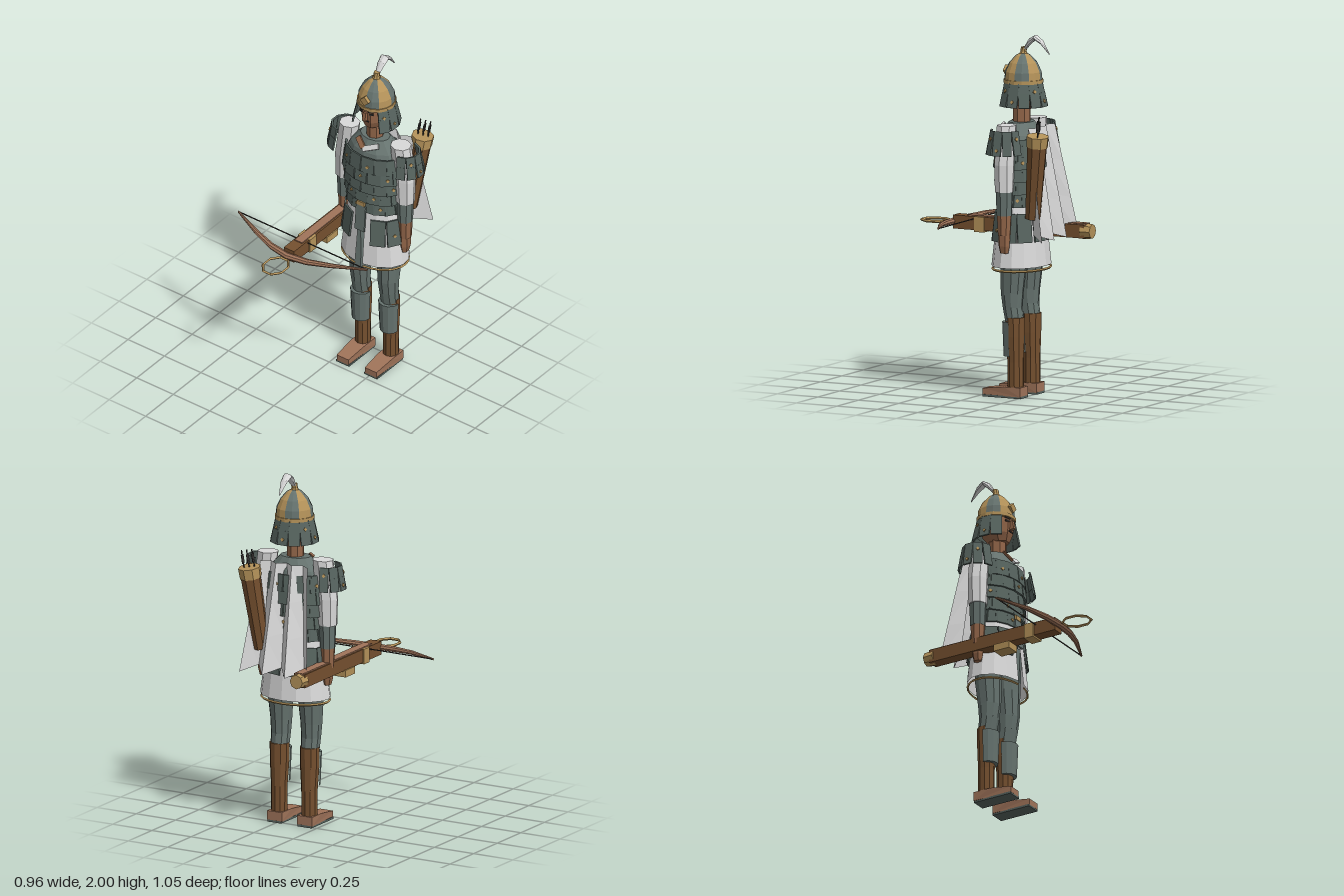
import * as THREE from 'three';

const mat = (name, color, double) => {
  const m = new THREE.MeshStandardMaterial({ color });
  m.name = name;
  if (double) m.side = THREE.DoubleSide;
  return m;
};
const CX = 0.165, CZ = -0.2; // body axis

export function createModel() {
  const root = new THREE.Group();
  const steel = mat('grey green steel', 0x66736f), plateMat = mat('dark plate', 0x57645f);
  const gold = mat('brass', 0xb5935a), leather = mat('dark leather', 0x75502f);
  const skin = mat('skin', 0x94674a), wood = mat('light wood', 0xa0745a);
  const cloth = mat('pale cloth', 0xd9d9d9, true), dark = mat('dark', 0x353230);

  // faceted mesh
  function add(name, geo, m, x = 0, y = 0, z = 0, parent = root) {
    const g = geo.index ? geo.toNonIndexed() : geo;
    g.computeVertexNormals();
    const mesh = new THREE.Mesh(g, m);
    mesh.name = name;
    mesh.position.set(x, y, z);
    parent.add(mesh);
    return mesh;
  }
  const box = (name, m, w, h, d, x, y, z, parent) => add(name, new THREE.BoxGeometry(w, h, d), m, x, y, z, parent);

  // closed solid through horizontal rings [x, y, z, rx, rz], lowest first
  function loft(rings, n = 8, off = 0) {
    const pos = [], idx = [];
    for (const [x, y, z, rx, rz] of rings)
      for (let j = 0; j < n; j++) {
        const a = ((j + off) / n) * Math.PI * 2;
        pos.push(x + rx * Math.sin(a), y, z + rz * Math.cos(a));
      }
    const last = (rings.length - 1) * n, c = rings.length * n;
    pos.push(...rings[0].slice(0, 3), ...rings[rings.length - 1].slice(0, 3));
    for (let j = 0; j < n; j++) {
      const k = (j + 1) % n;
      for (let i = 0; i < last; i += n) idx.push(i + j, i + k, i + n + k, i + j, i + n + k, i + n + j);
      idx.push(c, k, j, c + 1, last + j, last + k);
    }
    const g = new THREE.BufferGeometry();
    g.setAttribute('position', new THREE.Float32BufferAttribute(pos, 3));
    g.setIndex(idx);
    return g;
  }

  // row of hanging plates around an ellipse; every third carries a stud
  function plates(name, o) {
    const row = new THREE.Group();
    row.name = name;
    root.add(row);
    for (let i = 0; i < o.n; i++) {
      const a = o.from + ((i + 0.5) / o.n) * (o.to - o.from);
      const holder = new THREE.Group();
      holder.position.set(o.x + o.rx * Math.sin(a), o.y, o.z + o.rz * Math.cos(a));
      holder.rotation.set(-o.tilt, Math.atan2(Math.sin(a) / o.rx, Math.cos(a) / o.rz), 0, 'YXZ');
      row.add(holder);
      box('plate', plateMat, o.w, o.h, 0.01, 0, 0, 0, holder);
      if (o.stud !== undefined && i % 3 === o.stud)
        box('stud', gold, 0.015, 0.015, 0.008, 0, -o.h * 0.1, 0.007, holder).rotation.z = Math.PI / 4;
    }
  }

  // torso and scale armour
  add('torso', loft([[CX, 1.0, CZ, 0.15, 0.1], [CX, 1.1, CZ, 0.14, 0.1], [CX, 1.4, CZ, 0.175, 0.115],
    [CX, 1.45, CZ, 0.15, 0.105], [CX, 1.515, CZ, 0.09, 0.065]], 12), steel);
  for (let i = 0; i < 5; i++) {
    const wide = [0.182, 0.186, 0.18, 0.172, 0.165][i];
    plates('armourRow', { x: CX, z: CZ, y: 1.385 - i * 0.07, rx: wide, rz: wide * 0.69, n: 14,
      from: i % 2 * 0.22, to: i % 2 * 0.22 + Math.PI * 2, w: 0.078, h: 0.095, tilt: 0.12, stud: i % 3 });
  }
  box('collarFold', cloth, 0.1, 0.03, 0.012, CX + 0.035, 1.485, CZ + 0.09).rotation.set(-0.6, 0, 0.5);
  box('collarFold', skin, 0.07, 0.03, 0.012, CX - 0.035, 1.49, CZ + 0.088).rotation.set(-0.6, 0, -0.7);
  box('buckle', gold, 0.05, 0.025, 0.012, CX, 1.115, CZ + 0.13);
  box('frontFlap', steel, 0.065, 0.16, 0.01, CX, 1.02, CZ + 0.135).rotation.x = -0.08;

  // slit skirt, brass hem and hip plates
  const gap = 0.12;
  const skirt = new THREE.CylinderGeometry(0.155, 0.208, 0.39, 14, 1, true, gap, Math.PI * 2 - gap * 2);
  skirt.scale(1, 1, 0.73);
  add('skirt', skirt, cloth, CX, 0.92, CZ);
  const hem = new THREE.TorusGeometry(0.2, 0.007, 4, 24, Math.PI * 2 - gap * 2);
  hem.rotateZ(Math.PI / 2 + gap).rotateX(-Math.PI / 2).rotateY(Math.PI).scale(1, 1, 0.74);
  add('skirtHem', hem, gold, CX, 0.708, CZ);
  plates('hipPlates', { x: CX, z: CZ, y: 0.945, rx: 0.188, rz: 0.138, n: 10, from: 0.3, to: Math.PI * 2 - 0.3,
    w: 0.085, h: 0.16, tilt: 0.12, stud: 1 });

  // limbs
  for (const s of [-1, 1]) {
    const ax = CX + s * 0.205, lx = CX + s * 0.096;
    add('sleeve', loft([[ax, 1.15, CZ, 0.055, 0.052], [ax - s * 0.005, 1.3, CZ, 0.066, 0.055],
      [ax - s * 0.03, 1.515, CZ, 0.06, 0.055]]), cloth);
    add('forearmGuard', loft([[ax, 1.02, CZ, 0.042, 0.044], [ax, 1.16, CZ, 0.047, 0.049]]), steel);
    add('forearm', loft([[ax, 0.91, CZ, 0.036, 0.036], [ax, 1.03, CZ, 0.041, 0.042]]), skin);
    add('hand', loft([[ax, 0.81, CZ, 0.018, 0.025], [ax, 0.85, CZ, 0.028, 0.034], [ax, 0.92, CZ, 0.03, 0.035]], 6), skin);
    for (let i = 0; i < 2; i++)
      plates('shoulderPlates', { x: ax - s * 0.015, z: CZ - 0.005, y: 1.455 - i * 0.06, rx: 0.097 + i * 0.012,
        rz: 0.085 + i * 0.012, n: 5, from: s * 0.15, to: s * 3.0, w: 0.05, h: 0.075, tilt: 0.18, stud: 1 + i });

    add('thigh', loft([[lx, 0.4, CZ - 0.01, 0.052, 0.05], [lx, 0.5, CZ + 0.005, 0.056, 0.055],
      [lx, 0.58, CZ + 0.008, 0.061, 0.064], [lx, 0.72, CZ, 0.073, 0.073], [lx, 0.98, CZ, 0.074, 0.085]], 10), steel);
    add('boot', loft([[lx, 0.04, CZ - 0.013, 0.045, 0.046], [lx, 0.2, CZ - 0.013, 0.046, 0.045],
      [lx, 0.34, CZ - 0.01, 0.055, 0.052], [lx, 0.445, CZ - 0.01, 0.056, 0.053]], 10), leather);
    const shin = new THREE.CylinderGeometry(0.062, 0.054, 0.19, 6, 1, false, -Math.PI / 2, Math.PI);
    add('shinGuard', shin, steel, lx, 0.325, CZ);

    // shoe outline seen from the side, rising towards the heel
    const shoe = new THREE.Shape([[-0.265, 0.01], [-0.03, 0.01], [-0.03, 0.045], [-0.16, 0.062], [-0.265, 0.062]]
      .map(([z, y]) => new THREE.Vector2(z, y)));
    const sg = new THREE.ExtrudeGeometry(shoe, { depth: 0.094, bevelEnabled: false });
    sg.rotateY(-Math.PI / 2).translate(0.047, 0, 0);
    const p = sg.attributes.position;
    for (let i = 0; i < p.count; i++) if (p.getZ(i) > -0.1) p.setX(i, p.getX(i) * 0.85);
    add('shoe', sg, wood, lx, 0, 0);
    box('sole', plateMat, 0.088, 0.012, 0.235, lx, 0.006, -0.148);
  }

  // head and face
  add('neck', loft([[CX, 1.49, CZ, 0.048, 0.05], [CX, 1.63, CZ, 0.048, 0.05]]), skin);
  add('head', loft([[CX, 1.595, CZ + 0.01, 0.045, 0.06], [CX, 1.64, CZ, 0.073, 0.088],
    [CX, 1.7, CZ, 0.08, 0.093], [CX, 1.76, CZ, 0.08, 0.093]], 8, 0.5), skin);
  box('nose', skin, 0.02, 0.05, 0.03, CX, 1.685, CZ + 0.09).rotation.x = -0.2;
  box('mouth', dark, 0.036, 0.007, 0.008, CX, 1.65, CZ + 0.083);
  for (const s of [-1, 1]) {
    box('eye', dark, 0.025, 0.01, 0.008, CX + s * 0.034, 1.705, CZ + 0.083).rotation.y = s * 0.35;
    box('brow', dark, 0.034, 0.007, 0.008, CX + s * 0.034, 1.722, CZ + 0.084).rotation.set(0, s * 0.35, s * 0.15);
  }

  // segmented helmet
  const dome = [[0.105, 1.74], [0.1, 1.79], [0.077, 1.84], [0.042, 1.878], [0.018, 1.892]]
    .map(([r, y]) => new THREE.Vector2(r, y));
  for (let i = 0; i < 8; i++)
    add('helmetSegment', new THREE.LatheGeometry(dome, 2, i * Math.PI / 4, Math.PI / 4), i % 2 ? gold : steel, CX, 0, CZ - 0.01);
  add('helmetBand', loft([[CX, 1.728, CZ - 0.01, 0.109, 0.109], [CX, 1.748, CZ - 0.01, 0.109, 0.109]], 16), gold);
  add('finial', loft([[CX, 1.88, CZ - 0.01, 0.028, 0.028], [CX, 1.9, CZ - 0.01, 0.018, 0.018], [CX, 1.925, CZ - 0.015, 0.018, 0.018]]), gold);
  box('helmetJewel', gold, 0.042, 0.042, 0.02, CX, 1.79, CZ + 0.092).rotation.z = Math.PI / 4;
  for (let i = 0; i < 2; i++)
    plates('neckGuard', { x: CX, z: CZ - 0.01, y: 1.695 - i * 0.055, rx: 0.107 + i * 0.012, rz: 0.107 + i * 0.014,
      n: 9, from: 0.75, to: Math.PI * 2 - 0.75, w: 0.062, h: 0.08, tilt: 0.22, stud: i });
  add('plume', loft([[CX, -0.37, -1.895, 0.004, 0.004], [CX, -0.325, -1.955, 0.02, 0.013], [CX, -0.285, -1.982, 0.027, 0.014],
    [CX, -0.25, -1.955, 0.024, 0.02], [CX, -0.212, -1.905, 0.012, 0.012]]).rotateX(Math.PI / 2), cloth);

  // pleated cape
  const cape = new THREE.PlaneGeometry(1, 1, 6, 3), cp = cape.attributes.position;
  for (let i = 0; i < cp.count; i++) {
    const u = cp.getX(i) * 2, t = 0.5 - cp.getY(i), ridge = (i % 7) % 2 === 0;
    cp.setXYZ(i, CX + u * (0.15 + 0.065 * t), 1.49 - t * (ridge ? 0.61 : 0.58),
      -0.29 - 0.06 * t - (ridge ? 0.035 + 0.055 * t : 0));
  }
  add('cape', cape, cloth);

  // quiver with arrows, leaning outward
  const quiver = new THREE.Group();
  quiver.name = 'quiver';
  quiver.position.set(0.32, 1.23, -0.365);
  quiver.rotation.set(-0.12, 0, -0.1);
  root.add(quiver);
  add('quiverBody', new THREE.CylinderGeometry(0.058, 0.043, 0.46, 8), leather, 0, 0, 0, quiver);
  add('quiverRim', new THREE.CylinderGeometry(0.063, 0.061, 0.06, 8), gold, 0, 0.21, 0, quiver);
  for (let i = -1; i <= 1; i++) {
    add('arrow', new THREE.CylinderGeometry(0.004, 0.004, 0.3, 5), dark, i * 0.026, 0.19, -i * 0.012, quiver);
    box('fletching', dark, 0.004, 0.05, 0.022, i * 0.026, 0.29, -i * 0.012, quiver);
  }

  // crossbow
  const bx = -0.037;
  box('stock', leather, 0.07, 0.075, 0.81, bx, 0.9, -0.09);
  box('stockTopRail', wood, 0.05, 0.01, 0.73, bx, 0.939, -0.135);
  add('buttCap', new THREE.CylinderGeometry(0.045, 0.04, 0.06, 8).rotateX(Math.PI / 2), gold, bx, 0.9, -0.5);
  box('stockBand', gold, 0.084, 0.085, 0.06, bx, 0.896, 0.15);
  box('lock', gold, 0.084, 0.04, 0.1, bx, 0.845, -0.025);
  add('bow', loft([[-0.923, -0.478, 0.19, 0.006, 0.006], [-0.915, -0.29, 0.272, 0.012, 0.016], [-0.905, -0.16, 0.312, 0.016, 0.02],
    [-0.9, bx, 0.327, 0.018, 0.022], [-0.905, 0.086, 0.312, 0.016, 0.02], [-0.915, 0.216, 0.272, 0.012, 0.016],
    [-0.923, 0.405, 0.19, 0.006, 0.006]]).rotateZ(-Math.PI / 2), wood);
  box('bowstring', dark, 0.88, 0.005, 0.005, bx, 0.923, 0.19);
  const ring = new THREE.TorusGeometry(0.077, 0.008, 4, 8).rotateZ(Math.PI / 8).rotateX(Math.PI / 2).scale(0.88, 1, 1.1);
  add('stirrup', ring, gold, bx, 0.897, 0.435);
  return root;
}
